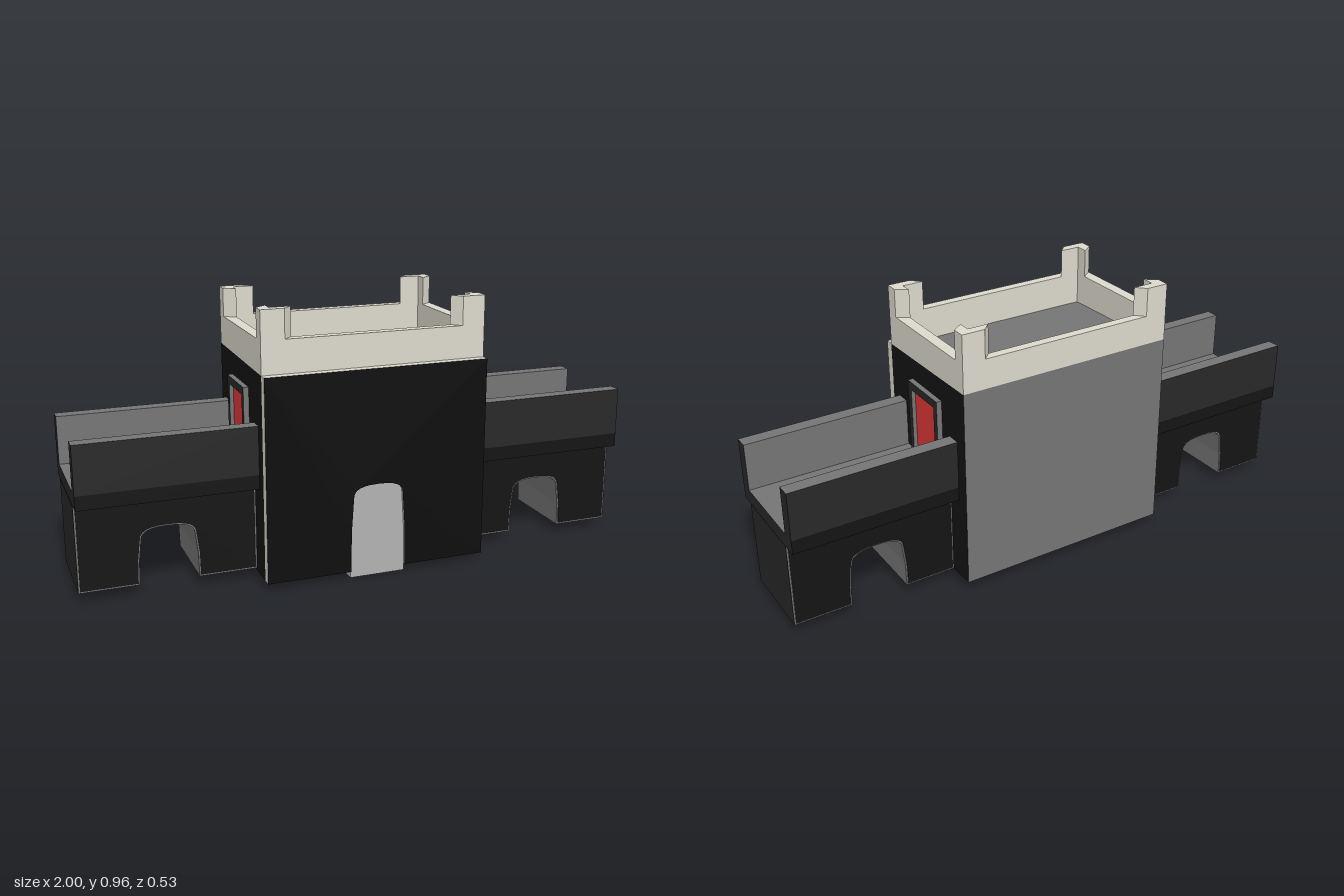
import * as THREE from 'three';

const mat = (color) => new THREE.MeshStandardMaterial({ color, side: THREE.DoubleSide, flatShading: true });
const black = mat(0x0c0c0c), coal = mat(0x141414), dark = mat(0x282828);
const grey = mat(0x757575), stone = mat(0xdcd9cc), red = mat(0xdd3838), pale = mat(0xb2b2b2);

// Tower extents: centre and half sizes
const CX = 0.01, CZ = -0.015, HX = 0.4, HZ = 0.25;
// The tower's top and bottom rise gently toward the back
const rise = (z) => 0.022 * (CZ + HZ - z);

function add(parent, name, geometry, material) {
  const mesh = new THREE.Mesh(geometry, material);
  mesh.name = name;
  parent.add(mesh);
  return mesh;
}

// Box from minimum and maximum corners; faces ordered +x -x +y -y +z -z
function box(parent, name, [x0, y0, z0], [x1, y1, z1], material) {
  const g = new THREE.BoxGeometry(x1 - x0, y1 - y0, z1 - z0);
  g.translate((x0 + x1) / 2, (y0 + y1) / 2, (z0 + z1) / 2);
  return add(parent, name, g, material);
}

// Raises vertices according to their depth
function slope(geometry, test = () => true) {
  const p = geometry.attributes.position;
  for (let i = 0; i < p.count; i++) {
    if (test(p.getY(i))) p.setY(i, p.getY(i) + rise(p.getZ(i)));
  }
  geometry.computeVertexNormals();
}

// Arch outline from left foot over the top to right foot
function archPoints(cx, half, y0, top) {
  const spring = top - half * 0.42, inner = half * 0.9;
  const pts = [[cx - half, y0], [cx - half * 0.98, y0 + (spring - y0) * 0.55]];
  for (let i = 0; i <= 12; i++) {
    const a = Math.PI * (1 - i / 12), c = Math.cos(a);
    const x = Math.sign(c) * Math.pow(Math.abs(c), 0.75) * inner;
    pts.push([cx + x, spring + Math.pow(Math.sin(a), 0.8) * (top - spring)]);
  }
  pts.push([cx + half * 0.98, y0 + (spring - y0) * 0.55], [cx + half, y0]);
  return pts.map(([x, y]) => new THREE.Vector2(x, y));
}

// Wall with an arched notch rising from its foot
function archedWall(x0, x1, y0, y1, arch, z0, z1) {
  const outline = [new THREE.Vector2(x0, y0), ...arch, new THREE.Vector2(x1, y0),
    new THREE.Vector2(x1, y1), new THREE.Vector2(x0, y1)];
  const g = new THREE.ExtrudeGeometry(new THREE.Shape(outline), { depth: z1 - z0, bevelEnabled: false });
  return g.translate(0, 0, z0);
}

// Plan shape (x, z) raised from y0 to y1
function raised(shape, y0, y1) {
  const g = new THREE.ExtrudeGeometry(shape, { depth: y1 - y0, bevelEnabled: false });
  return g.rotateX(-Math.PI / 2).translate(CX, y0, CZ);
}

const rectangle = (hx, hz) => [[-hx, -hz], [hx, -hz], [hx, hz], [-hx, hz]].map(([x, y]) => new THREE.Vector2(x, y));

function buildTower() {
  const tower = new THREE.Group();
  tower.name = 'tower';
  const body = box(tower, 'towerBody', [CX - HX, 0.025, CZ - HZ], [CX + HX, 0.74, CZ + HZ],
    [coal, coal, grey, grey, black, grey]);
  slope(body.geometry);

  // Front facing with the gate opening
  add(tower, 'frontFacing',
    archedWall(CX - HX, CX + HX, 0.025, 0.74, archPoints(CX, 0.1, 0.025, 0.335), 0.235, 0.266), [black, stone]);
  const gate = new THREE.ExtrudeGeometry(new THREE.Shape(archPoints(CX, 0.1, 0, 0.335)), { depth: 0.057, bevelEnabled: false });
  add(tower, 'gate', gate.translate(0, 0, 0.2), pale);

  // Crown wall, its foot following the sloping roof
  const ring = new THREE.Shape(rectangle(HX, HZ));
  ring.holes.push(new THREE.Path(rectangle(HX - 0.04, HZ - 0.033)));
  const crown = raised(ring, 0.74, 0.855);
  slope(crown, (y) => y < 0.8);
  add(tower, 'crownWall', crown, stone);

  // L-shaped corner posts with slanted ends
  for (const sx of [-1, 1]) for (const sz of [-1, 1]) {
    const pts = [[HX, HZ], [0.318, HZ], [0.286, HZ - 0.033], [HX - 0.04, HZ - 0.033], [HX - 0.04, 0.173], [HX, 0.203]];
    const shape = new THREE.Shape(pts.map(([x, z]) => new THREE.Vector2(sx * x, sz * z)));
    add(tower, 'cornerPost', raised(shape, 0.855, 0.956), stone);
  }
  return tower;
}

function buildSideDoor(s) {
  const door = new THREE.Group();
  door.name = s > 0 ? 'leftDoor' : 'rightDoor';
  const face = CX + s * HX;
  const span = (a, b) => [Math.min(face + s * a, face + s * b), Math.max(face + s * a, face + s * b)];
  const [a, b] = span(0, 0.019), [c, d] = span(0, 0.005);
  const trim = [dark, dark, grey, grey, grey, grey];
  box(door, 'doorJamb', [a, 0.39, 0.06], [b, 0.668, 0.083], trim);
  box(door, 'doorJamb', [a, 0.39, -0.117], [b, 0.668, -0.094], trim);
  box(door, 'doorLintel', [a, 0.639, -0.094], [b, 0.668, 0.06], trim);
  box(door, 'doorPanel', [c, 0.39, -0.094], [d, 0.639, 0.06], red);
  return door;
}

function buildWing(s) {
  const wing = new THREE.Group();
  wing.name = s > 0 ? 'leftWing' : 'rightWing';
  const inner = CX + s * HX;
  const x0 = Math.min(inner, s), x1 = Math.max(inner, s);

  // Arched wall with thin dark panels on both faces
  add(wing, 'wingWall', archedWall(x0, x1, 0.035, 0.34, archPoints(s * 0.695, 0.102, 0.035, 0.234), -0.162, 0.137), grey);
  box(wing, 'wingEnd', [s - 0.001, 0.035, -0.162], [s + 0.001, 0.34, 0.137], dark);
  for (const z of [-0.165, 0.137]) {
    add(wing, 'wallPanel',
      archedWall(x0 + 0.005, x1 - 0.005, 0.041, 0.34, archPoints(s * 0.695, 0.107, 0.041, 0.239), z, z + 0.003), [coal, grey]);
  }

  // Walkway and parapets
  box(wing, 'walkway', [x0, 0.34, -0.216], [x1, 0.39, 0.19], [dark, dark, grey, grey, coal, coal]);
  box(wing, 'frontParapet', [x0, 0.39, 0.14], [x1, 0.56, 0.19], [dark, dark, grey, grey, dark, grey]);
  box(wing, 'backParapet', [x0, 0.39, -0.216], [x1, 0.56, -0.166], [dark, dark, grey, grey, grey, dark]);
  return wing;
}

export function createModel() {
  const model = new THREE.Group();
  model.name = 'gatehouse';
  model.add(buildTower());
  for (const s of [-1, 1]) model.add(buildSideDoor(s), buildWing(s));
  return model;
}
